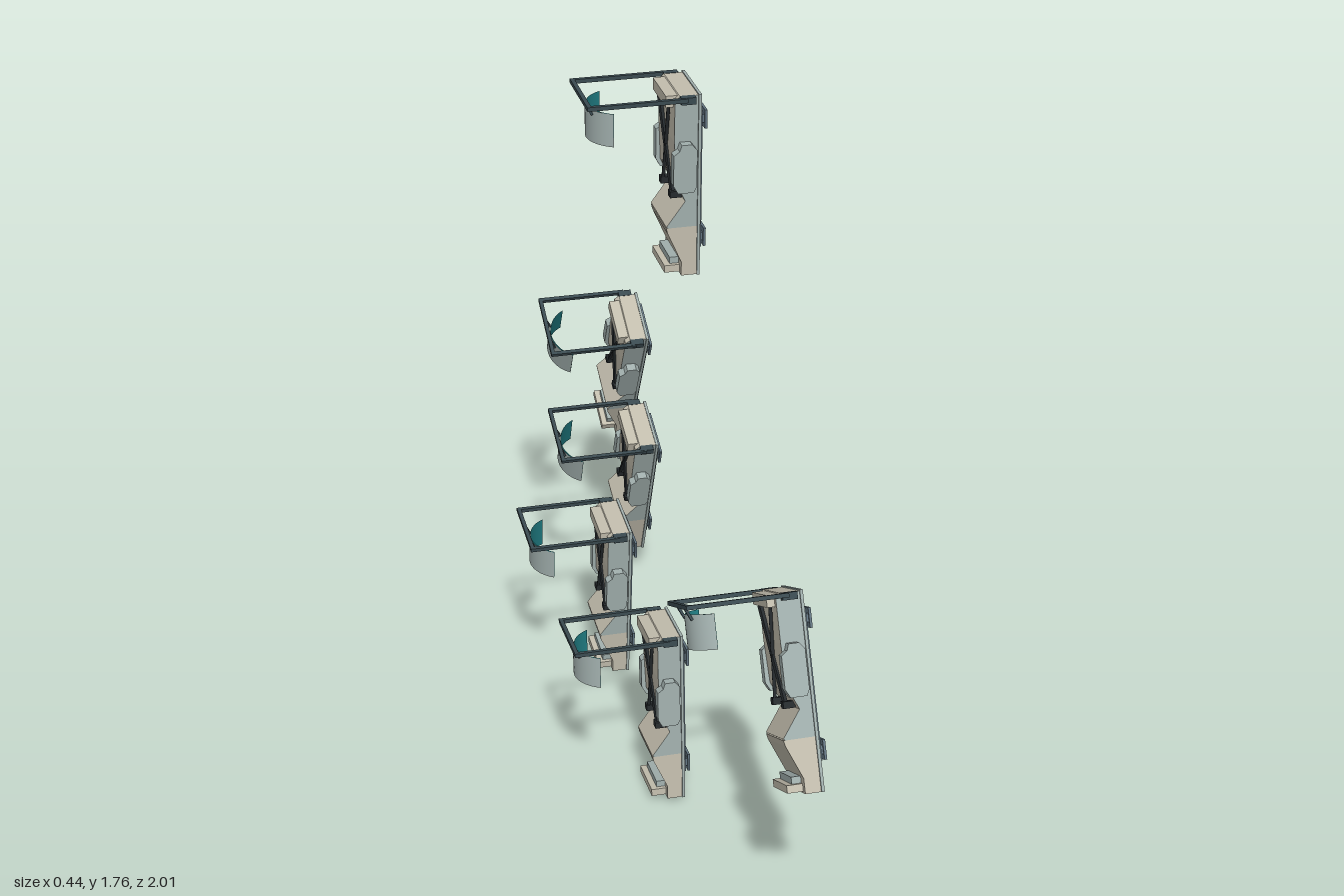
import * as THREE from 'three';

const mat = (name, color, double) => {
  const m = new THREE.MeshStandardMaterial({ color });
  m.name = name;
  if (double) m.side = THREE.DoubleSide;
  return m;
};

const M = {
  shell: mat('pale blue grey', 0xa0aeac),
  beige: mat('warm beige', 0xc2bdad),
  slate: mat('slate', 0x61737f),
  frame: mat('dark frame', 0x3a4a50),
  belt: mat('belt black', 0x262b2e),
  teal: mat('teal screen', 0x1f7a80, true),
};

function add(parent, name, geometry, material) {
  const mesh = new THREE.Mesh(geometry, material);
  mesh.name = name;
  parent.add(mesh);
  return mesh;
}

// box given by its minimum and maximum corners
function box(parent, name, a, b, material) {
  const mesh = add(parent, name, new THREE.BoxGeometry(b[0] - a[0], b[1] - a[1], b[2] - a[2]), material);
  mesh.position.set((a[0] + b[0]) / 2, (a[1] + b[1]) / 2, (a[2] + b[2]) / 2);
  return mesh;
}

// straight strip between two points
function strip(parent, name, a, b, w, d, material) {
  const p = new THREE.Vector3(...a), q = new THREE.Vector3(...b);
  const dir = q.clone().sub(p);
  const mesh = add(parent, name, new THREE.BoxGeometry(w, dir.length(), d), material);
  mesh.position.copy(p).add(q).multiplyScalar(0.5);
  mesh.quaternion.setFromUnitVectors(new THREE.Vector3(0, 1, 0), dir.normalize());
  return mesh;
}

// side profile in x, y extruded across the seat
function slab(parent, name, points, halfWidth, material) {
  const shape = new THREE.Shape(points.map((p) => new THREE.Vector2(...p)));
  const g = new THREE.ExtrudeGeometry(shape, { depth: halfWidth * 2, bevelEnabled: false });
  g.translate(0, 0, -halfWidth);
  return add(parent, name, g, material);
}

function makeSeat() {
  const seat = new THREE.Group();

  // Body: grey flanks with a beige front and top above, all beige below the knee
  slab(seat, 'upperBody', [
    [0.145, 0.125], [0.145, 0.452], [0.1, 0.452], [0.088, 0.44], [0.088, 0.34],
    [0.092, 0.24], [0.115, 0.19], [0.07, 0.128], [0.075, 0.125],
  ], 0.076, [M.shell, M.beige]);
  slab(seat, 'lowerBody', [
    [0.145, 0], [0.145, 0.125], [0.07, 0.125], [0.073, 0.112], [0.107, 0.035], [0.107, 0],
  ], 0.076, M.beige);
  box(seat, 'headrest', [0.07, 0.422, -0.062], [0.1, 0.45, 0.062], M.beige);
  box(seat, 'footrest', [0.07, 0.004, -0.06], [0.108, 0.022, 0.06], M.beige);
  box(seat, 'footrestStep', [0.085, 0.022, -0.05], [0.108, 0.038, 0.05], M.shell);

  // Back panel with inset plate and two raised cross bands
  box(seat, 'backPanel', [0.144, 0, -0.08], [0.151, 0.455, 0.08], M.shell);
  box(seat, 'backPlate', [0.15, 0.068, -0.07], [0.156, 0.41, 0.07], M.slate);
  for (const y of [0.092, 0.389]) {
    box(seat, 'bandStem', [0.155, y - 0.01, -0.066], [0.162, y + 0.01, 0.066], M.slate);
    box(seat, 'crossBand', [0.161, y - 0.023, -0.071], [0.167, y + 0.023, 0.071], M.slate);
  }

  for (const s of [-1, 1]) {
    // Side pods with chamfered ends
    const pod = slab(seat, 'sidePod', [
      [0.13, 0.22], [0.137, 0.235], [0.137, 0.325], [0.125, 0.34], [0.1, 0.34],
      [0.095, 0.325], [0.081, 0.315], [0.081, 0.24], [0.092, 0.22],
    ], 0.012, M.shell);
    pod.position.z = s * 0.086;

    // Crossed harness and its waist buckles
    strip(seat, 'harness', [0.081, 0.42, -s * 0.045], [0.092, 0.2, s * 0.045], 0.008, 0.011, M.belt);
    box(seat, 'buckle', [0.084, 0.192, s * 0.045 - 0.01], [0.112, 0.208, s * 0.045 + 0.01], M.belt);

    // Overhead side rails and screen hangers
    box(seat, 'sideRail', [-0.12, 0.442, s * 0.09 - 0.005], [0.115, 0.452, s * 0.09 + 0.005], M.frame);
    box(seat, 'railMount', [0.1, 0.436, s * 0.083 - 0.009], [0.135, 0.453, s * 0.083 + 0.009], M.frame);
    strip(seat, 'screenHanger', [-0.115, 0.446, s * 0.035 + 0.01], [-0.1, 0.415, s * 0.035 + 0.01], 0.006, 0.008, M.frame);
  }
  box(seat, 'frontRail', [-0.121, 0.442, -0.095], [-0.111, 0.452, 0.095], M.frame);

  // Curved screen: pale outside, teal inside
  const arc = (r) => new THREE.CylinderGeometry(r, r, 0.08, 20, 1, true, 1.5 * Math.PI - 1.12, 2.24);
  const screen = new THREE.Group();
  screen.name = 'screen';
  screen.position.set(-0.021, 0.387, 0.01);
  add(screen, 'screenOuter', arc(0.086), M.shell);
  add(screen, 'screenInner', arc(0.083), M.teal);
  seat.add(screen);
  return seat;
}

export function createModel() {
  const model = new THREE.Group();
  model.name = 'seatRing';
  // x shift, base y, base z, lean in degrees
  const places = [
    [0, 1.31, 0, 0],
    [0.057, 0.415, 0.932, -28.2],
    [-0.1, 0.012, 0.303, -4.9],
    [-0.1, 0.012, -0.303, 4.9],
    [0.057, 0.118, -0.775, 21.6],
    [0.057, 0.415, -0.932, 28.2],
  ];
  places.forEach(([x, y, z, lean], i) => {
    const seat = makeSeat();
    seat.name = `seat${i + 1}`;
    seat.position.set(x, y, z);
    seat.rotation.x = THREE.MathUtils.degToRad(lean);
    model.add(seat);
  });
  return model;
}
